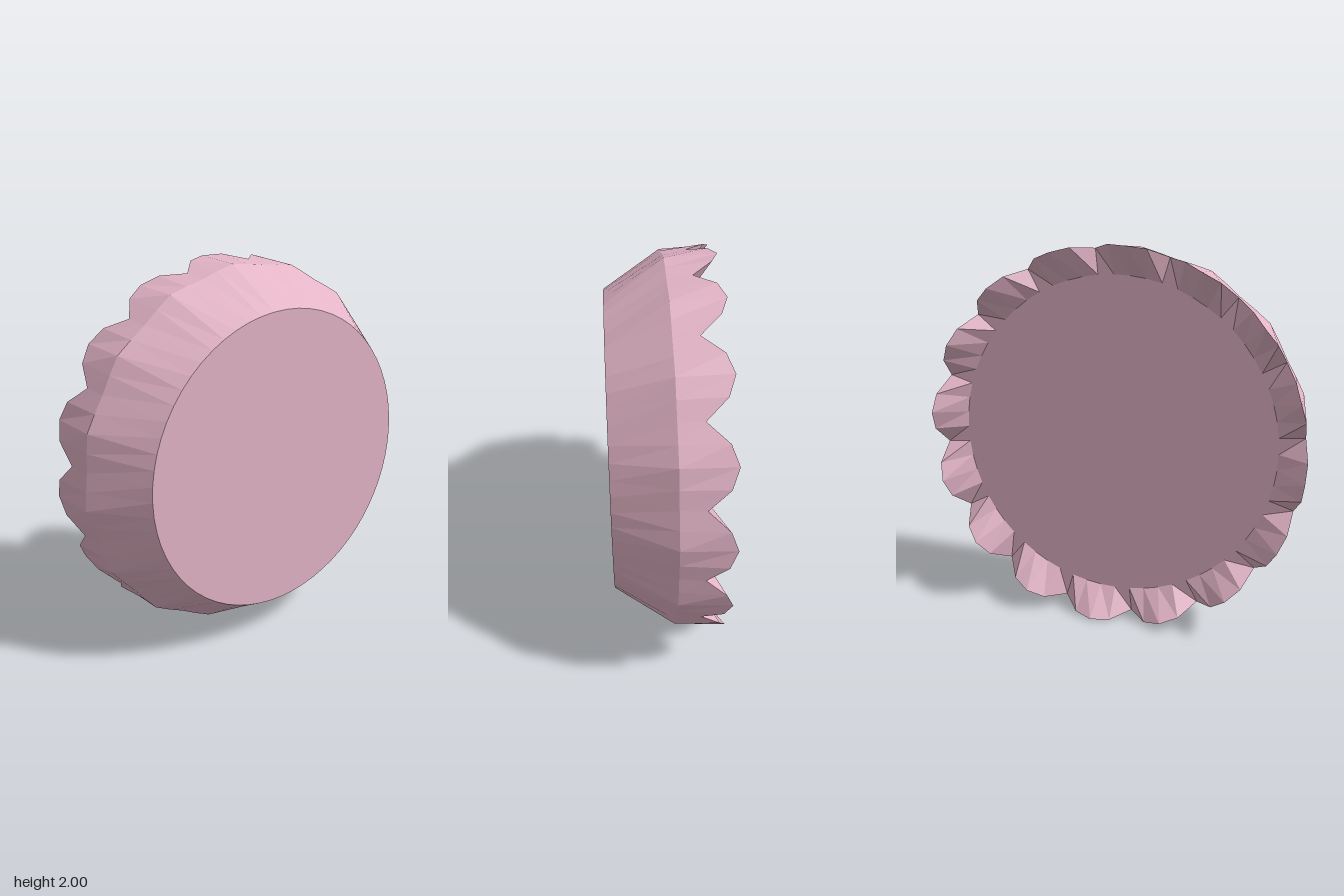
import * as THREE from 'three';

const TEETH = 16, SEGMENTS = TEETH * 4;
const STEP = (Math.PI * 2) / SEGMENTS;

// Closed ring of points; profile gives [radius, z] for the four steps of a tooth:
// flank, notch, flank, tip.
function ring(profile) {
  return Array.from({ length: SEGMENTS }, (_, i) => {
    const [r, z] = profile[(i + 2) % 4];
    return [r * Math.cos(i * STEP), r * Math.sin(i * STEP), z];
  });
}

const plain = (r, z) => ring([[r, z], [r, z], [r, z], [r, z]]);

// Faceted wall through consecutive rings, ordered from front to back.
function loft(rings) {
  const positions = [];
  for (let k = 0; k < rings.length - 1; k++) {
    const a = rings[k], b = rings[k + 1];
    for (let i = 0; i < SEGMENTS; i++) {
      const j = (i + 1) % SEGMENTS;
      positions.push(...a[i], ...b[i], ...b[j], ...a[i], ...b[j], ...a[j]);
    }
  }
  const geometry = new THREE.BufferGeometry();
  geometry.setAttribute('position', new THREE.Float32BufferAttribute(positions, 3));
  geometry.computeVertexNormals();
  return geometry;
}

export function createModel() {
  const model = new THREE.Group();
  model.name = 'bottleCap';
  const material = new THREE.MeshStandardMaterial({ color: 0xe3b4c6, flatShading: true });

  const add = (name, geometry) => {
    const mesh = new THREE.Mesh(geometry, material);
    mesh.name = name;
    mesh.position.y = 1;
    model.add(mesh);
    return mesh;
  };

  // Ring indices 3, 7, 11... are notches: shift so that profile[1] lands on them
  const shoulder = ring([[0.972, -0.02], [0.964, -0.02], [0.972, -0.02], [0.985, -0.02]]);
  const rim = ring([[1, -0.24], [0.98, -0.14], [1, -0.24], [1, -0.275]]);

  // Sloping side and crimped skirt
  add('skirt', loft([plain(0.79, 0.275), shoulder, rim]));

  // Inner faces of the crimped teeth, down to the underside
  add('teethInside', loft([rim, plain(0.85, -0.14)]));

  // Flat top face
  add('topFace', new THREE.CircleGeometry(0.79, SEGMENTS)).position.z = 0.275;

  // Flat underside, facing back
  const underside = add('underside', new THREE.CircleGeometry(0.85, SEGMENTS));
  underside.rotation.y = Math.PI;
  underside.position.z = -0.14;

  return model;
}
